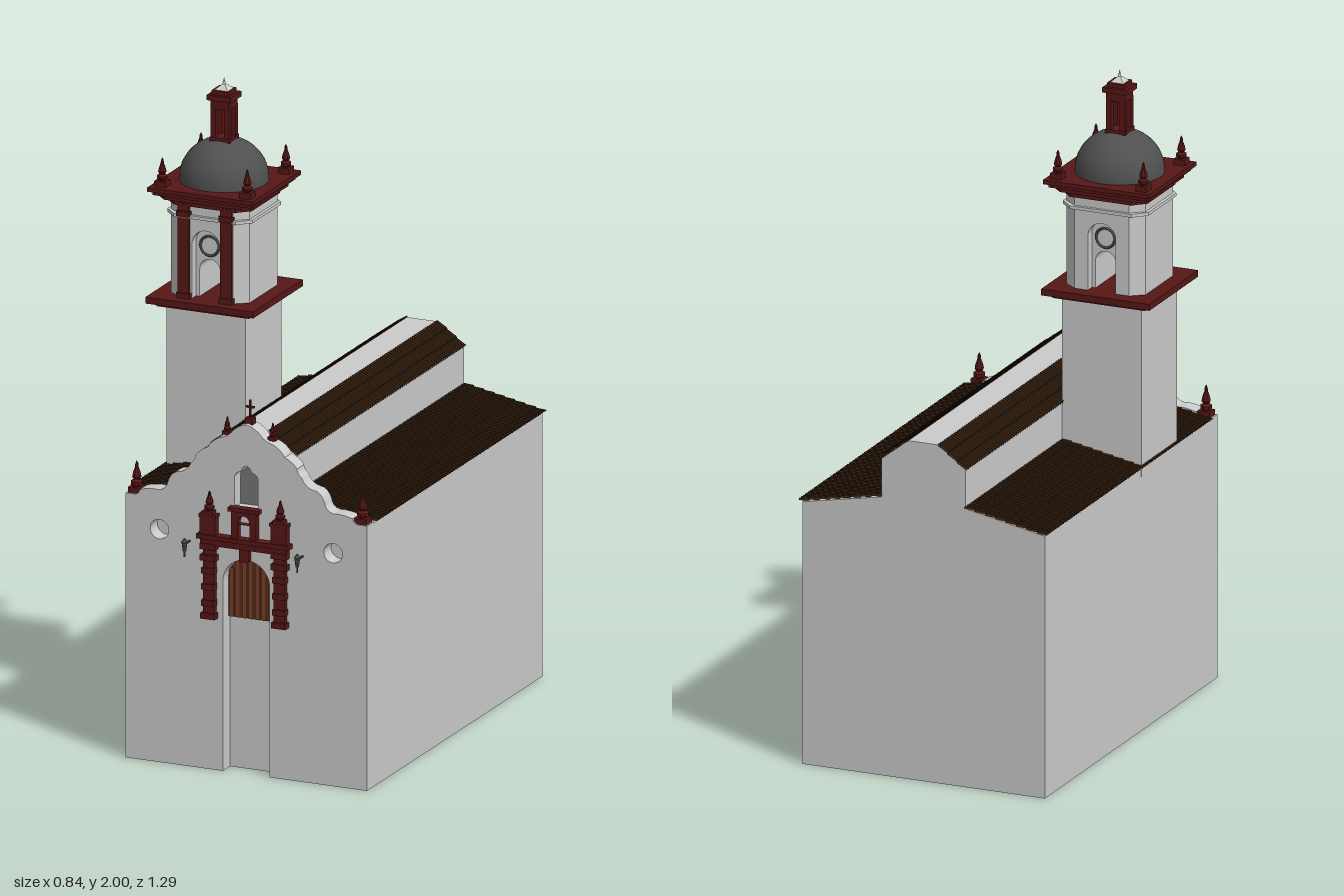
import * as THREE from 'three';

const mat = (color, extra = {}) => new THREE.MeshStandardMaterial({ color, ...extra });
const GREY = mat(0xcccccc);
const RED = mat(0x561616, { flatShading: true });
const TILE = mat(0x35200f, { side: THREE.DoubleSide, flatShading: true });
const DOME = mat(0x505050, { side: THREE.DoubleSide });
const WOOD = mat(0x7a4028);
const IRON = mat(0x444444);
const CX = 0.018; // centre line of nave and facade

function add(parent, name, geo, material, x = 0, y = 0, z = 0) {
  const m = new THREE.Mesh(geo, material);
  m.name = name;
  m.position.set(x, y, z);
  parent.add(m);
  return m;
}
// box given by its bottom height
const box = (p, name, material, w, h, d, x, y, z) =>
  add(p, name, new THREE.BoxGeometry(w, h, d), material, x, y + h / 2, z);
const extrude = (shape, depth) =>
  new THREE.ExtrudeGeometry(shape, { depth, bevelEnabled: false, curveSegments: 16 });
const poly = (pts) => new THREE.Shape(pts.map(([x, y]) => new THREE.Vector2(x, y)));

// round-headed opening outline
function arch(PathType, x, w, y0, top) {
  const r = w / 2, p = new PathType();
  p.moveTo(x - r, y0);
  p.lineTo(x + r, y0);
  p.lineTo(x + r, top - r);
  p.absarc(x, top - r, r, 0, Math.PI, false);
  p.lineTo(x - r, y0);
  return p;
}

// pedestal with a pointed, turned ornament
function finial(parent, name, x, y, z, w, h) {
  const g = new THREE.Group();
  g.name = name;
  g.position.set(x, y, z);
  box(g, 'pedestal', RED, w, h * 0.2, w, 0, 0, 0);
  const pts = [[0.3, 0.2], [0.45, 0.28], [0.45, 0.36], [0.22, 0.42], [0.36, 0.5], [0.3, 0.62], [0.15, 0.78], [0.12, 0.9], [0, 1]];
  add(g, 'spire', new THREE.LatheGeometry(pts.map(([a, b]) => new THREE.Vector2(a * w, b * h)), 8), RED);
  parent.add(g);
}

// corrugated slope of overlapping tile courses, from eave (x0,y0) up to (x1,y1)
function tileSlope(parent, name, x0, y0, x1, y1, courses) {
  const ridges = 90, seg = 5, nx = courses * 2 - 1, nz = ridges * seg;
  const geo = new THREE.PlaneGeometry(1, 1, nx, nz), pos = geo.attributes.position;
  for (let k = 0; k < pos.count; k++) {
    const i = k % (nx + 1), j = Math.floor(k / (nx + 1));
    const u = Math.floor((i + 1) / 2) / courses;
    const wave = Math.abs(Math.sin((j / seg) * Math.PI)) * 0.006;
    const lift = i % 2 ? 0.001 : 0.005;
    pos.setXYZ(k, x0 + (x1 - x0) * u, y0 + (y1 - y0) * u + wave + lift, -0.645 + 1.187 * (j / nz));
  }
  geo.computeVertexNormals();
  add(parent, name, geo, TILE);
}

function buildNave() {
  const g = new THREE.Group();
  g.name = 'nave';
  const half = [[0.392, 0], [0.392, 0.815], [0.136, 0.865], [0.136, 0.985], [0.049, 1.052]];
  const pts = [...half, ...half.map(([x, y]) => [-x, y]).reverse()].map(([x, y]) => [CX + x, y]);
  add(g, 'naveWalls', extrude(poly(pts), 1.185), GREY, 0, 0, -0.64);
  for (const s of [-1, 1]) {
    tileSlope(g, 'aisleRoof', CX + s * 0.402, 0.815, CX + s * 0.134, 0.867, 8);
    tileSlope(g, 'upperRoof', CX + s * 0.142, 0.982, CX + s * 0.049, 1.05, 3);
  }
  return g;
}

function buildFacade() {
  const g = new THREE.Group();
  g.name = 'facade';
  g.position.x = CX;
  // scalloped gable: pairs of control point and end point, from right eave to the peak
  const scallops = [[0.35, 0.818, 0.345, 0.835], [0.31, 0.845, 0.285, 0.842], [0.26, 0.845, 0.255, 0.87],
    [0.245, 0.9, 0.225, 0.905], [0.19, 0.91, 0.18, 0.94], [0.165, 0.95, 0.165, 0.965], [0.15, 0.985, 0.125, 0.995],
    [0.11, 1.02, 0.085, 1.03], [0.06, 1.035, 0.045, 1.055], [0.025, 1.075, 0, 1.08]];
  const s = new THREE.Shape();
  s.moveTo(0.076, 0);
  s.lineTo(0.392, 0);
  s.lineTo(0.392, 0.818);
  s.lineTo(0.365, 0.818);
  scallops.forEach((c) => s.quadraticCurveTo(...c));
  for (let i = scallops.length - 1; i >= 0; i--) {
    const [ex, ey] = i ? scallops[i - 1].slice(2) : [0.365, 0.818];
    s.quadraticCurveTo(-scallops[i][0], scallops[i][1], -ex, ey);
  }
  s.lineTo(-0.392, 0.818);
  s.lineTo(-0.392, 0);
  s.lineTo(-0.076, 0);
  s.lineTo(-0.076, 0.585);
  s.absarc(0, 0.585, 0.076, Math.PI, 0, true);
  s.lineTo(0.076, 0);
  for (const x of [-0.282, 0.282]) s.holes.push(new THREE.Path().absarc(x, 0.72, 0.03, 0, Math.PI * 2, true));
  // niche with a lobed head
  const n = new THREE.Path();
  n.moveTo(-0.038, 0.82);
  n.lineTo(-0.038, 0.905);
  n.quadraticCurveTo(-0.04, 0.93, -0.018, 0.932);
  n.quadraticCurveTo(-0.012, 0.95, 0, 0.952);
  n.quadraticCurveTo(0.012, 0.95, 0.018, 0.932);
  n.quadraticCurveTo(0.04, 0.93, 0.038, 0.905);
  n.lineTo(0.038, 0.82);
  s.holes.push(n);
  add(g, 'facadeWall', extrude(s, 0.05), GREY, 0, 0, 0.545);
  box(g, 'nicheBack', mat(0x777777), 0.08, 0.14, 0.012, 0, 0.815, 0.546);

  // door leaf with planks
  add(g, 'door', extrude(arch(THREE.Shape, 0, 0.15, 0.47, 0.66), 0.012), WOOD, 0, 0, 0.546);
  for (let i = -3; i <= 3; i++) {
    const top = 0.585 + Math.sqrt(0.075 ** 2 - (i * 0.021) ** 2) - 0.004;
    box(g, 'doorPlank', WOOD, 0.015, top - 0.47, 0.006, i * 0.021, 0.47, 0.56);
  }

  // portal
  for (const k of [-1, 1]) {
    const x = k * 0.115;
    box(g, 'portalColumn', RED, 0.036, 0.24, 0.02, x, 0.47, 0.603);
    for (const [y, w] of [[0.47, 0.046], [0.51, 0.041], [0.56, 0.041], [0.61, 0.041], [0.65, 0.05], [0.685, 0.05]])
      box(g, 'columnBand', RED, w, 0.018, 0.028, x, y, 0.606);
    box(g, 'columnPlinth', RED, 0.05, 0.06, 0.028, x, 0.725, 0.606);
    box(g, 'columnCap', RED, 0.056, 0.01, 0.032, x, 0.785, 0.607);
    finial(g, 'portalFinial', x, 0.79, 0.605, 0.034, 0.075);
    // wall lantern on a bracket
    const lx = k * 0.183;
    box(g, 'lampBracket', IRON, 0.005, 0.005, 0.045, lx, 0.695, 0.615);
    add(g, 'lamp', new THREE.CylinderGeometry(0.009, 0.005, 0.03, 6), IRON, lx, 0.69, 0.633);
    add(g, 'lampCap', new THREE.ConeGeometry(0.011, 0.014, 6), IRON, lx, 0.711, 0.633);
    box(g, 'lampTail', IRON, 0.004, 0.02, 0.004, lx, 0.658, 0.633);
    box(g, 'nichePost', RED, 0.022, 0.085, 0.022, k * 0.03, 0.73, 0.604);
    finial(g, 'cornerFinial', k * 0.367, 0.815, 0.57, 0.04, 0.1);
    finial(g, 'gableFinial', k * 0.074, 1.035, 0.568, 0.024, 0.055);
  }
  box(g, 'entablature', RED, 0.28, 0.022, 0.024, 0, 0.698, 0.605);
  box(g, 'entablatureCornice', RED, 0.3, 0.014, 0.032, 0, 0.718, 0.609);
  box(g, 'keystone', RED, 0.03, 0.05, 0.02, 0, 0.66, 0.603);
  const header = poly([[-0.041, 0.775], [0.041, 0.775], [0.041, 0.815], [-0.041, 0.815]]);
  header.holes.push(arch(THREE.Path, 0, 0.036, 0.776, 0.802));
  add(g, 'nicheHeader', extrude(header, 0.022), RED, 0, 0, 0.593);
  box(g, 'nicheSill', RED, 0.1, 0.012, 0.03, 0, 0.813, 0.604);

  // cross on the gable
  box(g, 'crossPedestal', RED, 0.026, 0.025, 0.026, 0, 1.07, 0.568);
  box(g, 'crossUpright', RED, 0.006, 0.06, 0.006, 0, 1.09, 0.568);
  box(g, 'crossArm', RED, 0.028, 0.006, 0.006, 0, 1.125, 0.568);
  return g;
}

function buildTower() {
  const g = new THREE.Group();
  g.name = 'tower';
  g.position.set(-0.247, 0, 0.177);
  box(g, 'shaft', GREY, 0.256, 0.53, 0.256, 0, 0.79, 0);
  box(g, 'lowerCorniceBase', RED, 0.3, 0.014, 0.3, 0, 1.315, 0);
  box(g, 'lowerCornice', RED, 0.35, 0.02, 0.35, 0, 1.327, 0);

  // belfry: pierced centre with chamfered sides
  const panel = (w, top) => {
    const p = poly([[-0.088, 1.345], [0.088, 1.345], [0.088, 1.65], [-0.088, 1.65]]);
    p.holes.push(arch(THREE.Path, 0, w, 1.3455, top));
    return p;
  };
  const opening = panel(0.066, 1.465);
  add(g, 'belfryCore', extrude(opening, 0.2), GREY, 0, 0, -0.1);
  const rim = panel(0.09, 1.56);
  for (const k of [-1, 1]) {
    add(g, 'archedFace', extrude(rim, 0.028), GREY, 0, 0, k > 0 ? 0.1 : -0.128);
    add(g, 'archRing', new THREE.TorusGeometry(0.03, 0.004, 6, 24), IRON, 0, 1.507, k * 0.102);
    const side = add(g, 'belfrySide', extrude(poly([[0.088, -0.128], [0.128, -0.098], [0.128, 0.098], [0.088, 0.128]]), 0.305), GREY, 0, 1.345, 0);
    side.rotation.set(-Math.PI / 2, 0, k > 0 ? 0 : Math.PI);
    box(g, 'pilaster', RED, 0.036, 0.295, 0.012, k * 0.069, 1.345, 0.132);
    box(g, 'pilasterBase', RED, 0.044, 0.018, 0.018, k * 0.069, 1.345, 0.134);
    box(g, 'pilasterCapital', RED, 0.044, 0.016, 0.018, k * 0.069, 1.6, 0.134);
  }
  // octagonal mouldings and upper cornice
  const octagon = (h, c) => poly([[-c, -h], [c, -h], [h, -c], [h, c], [c, h], [-c, h], [-h, c], [-h, -c]]);
  for (const [name, h, c, y, t, m] of [['stringCourse', 0.138, 0.1, 1.595, 0.01, GREY],
    ['frieze', 0.136, 0.1, 1.632, 0.02, RED], ['upperCorniceBase', 0.152, 0.125, 1.648, 0.014, RED]])
    add(g, name, extrude(octagon(h, c), t), m, 0, y, 0).rotation.x = -Math.PI / 2;
  box(g, 'upperCornice', RED, 0.318, 0.013, 0.318, 0, 1.66, 0);
  box(g, 'upperCorniceTop', RED, 0.342, 0.013, 0.342, 0, 1.672, 0);
  for (const x of [-0.138, 0.138]) for (const z of [-0.136, 0.136])
    finial(g, 'towerFinial', x, 1.685, z, 0.036, 0.088);

  // dome
  const prof = [new THREE.Vector2(0.133, 1.683)];
  for (let i = 0; i <= 12; i++) {
    const a = (i / 12) * Math.PI / 2;
    prof.push(new THREE.Vector2(0.133 * Math.cos(a), 1.692 + 0.123 * Math.sin(a)));
  }
  add(g, 'dome', new THREE.LatheGeometry(prof, 40), DOME);

  // open lantern with four posts
  box(g, 'lanternBase', RED, 0.066, 0.025, 0.066, 0, 1.795, 0);
  for (const x of [-0.022, 0.022]) for (const z of [-0.022, 0.022])
    box(g, 'lanternPost', RED, 0.017, 0.1, 0.017, x, 1.815, z);
  box(g, 'lanternHead', RED, 0.06, 0.03, 0.06, 0, 1.908, 0);
  box(g, 'lanternCornice', RED, 0.078, 0.016, 0.078, 0, 1.935, 0);
  box(g, 'lanternCap', RED, 0.056, 0.014, 0.056, 0, 1.95, 0);
  const cap = add(g, 'lanternRoof', new THREE.ConeGeometry(0.032, 0.02, 4), mat(0xcccccc, { flatShading: true }), 0, 1.973, 0);
  cap.rotation.y = Math.PI / 4;
  add(g, 'lanternTip', new THREE.ConeGeometry(0.006, 0.024, 8), GREY, 0, 1.988, 0);
  return g;
}

export function createModel() {
  const model = new THREE.Group();
  model.name = 'missionChurch';
  model.add(buildNave(), buildFacade(), buildTower());
  return model;
}
